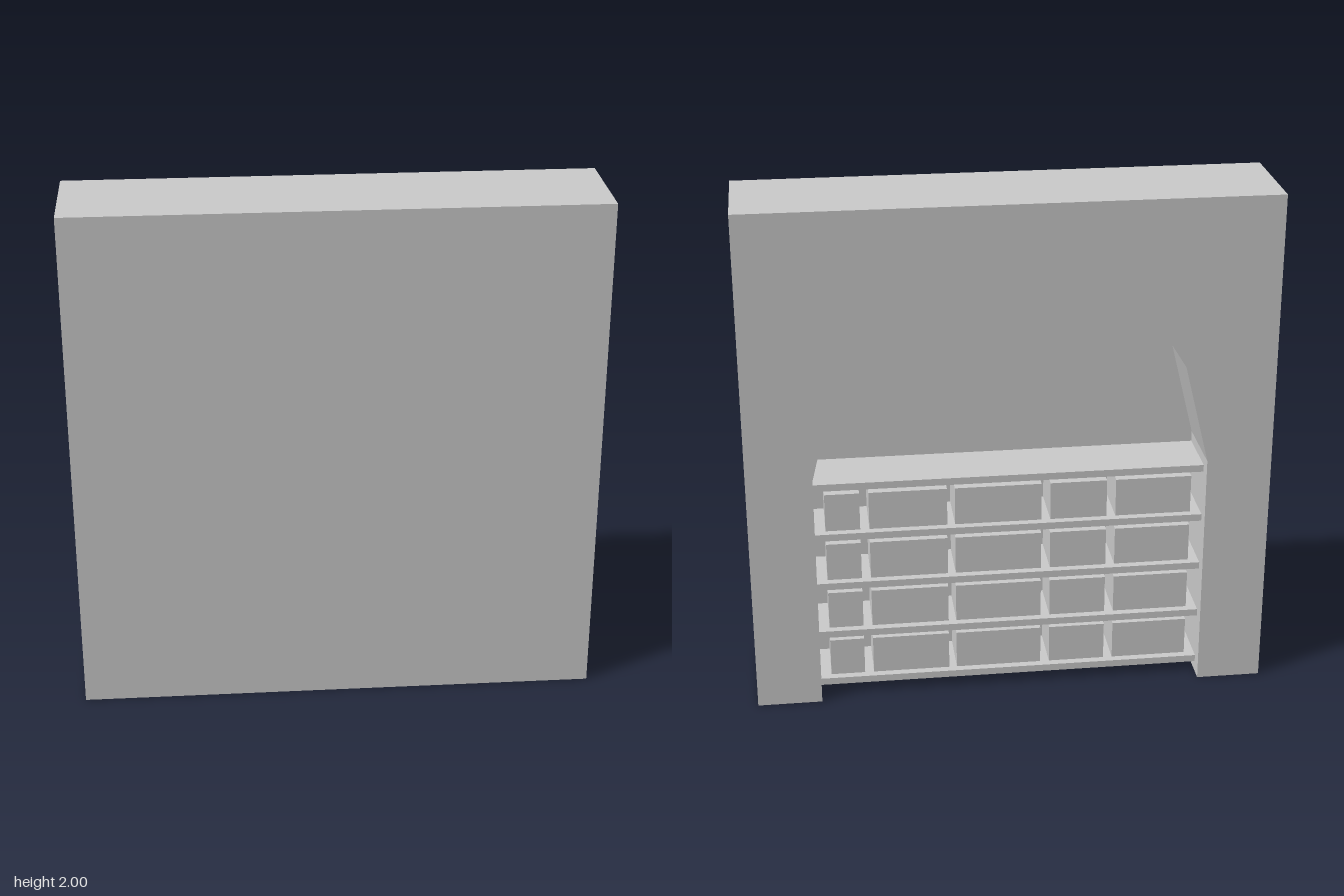
import * as THREE from 'three';

const material = new THREE.MeshStandardMaterial({ color: 0xcccccc, flatShading: true });

export function createModel() {
  const model = new THREE.Group();
  const back = -0.21, front = 0.21, nicheWall = 0.075, jamb = 0.75, spring = 0.955;

  function box(name, parent, x0, x1, y0, y1, z0, z1) {
    const mesh = new THREE.Mesh(new THREE.BoxGeometry(x1 - x0, y1 - y0, z1 - z0), material);
    mesh.position.set((x0 + x1) / 2, (y0 + y1) / 2, (z0 + z1) / 2);
    mesh.name = name;
    parent.add(mesh);
  }

  // Solid panel closing the front of the niche
  box('frontPanel', model, -1, 1, 0, 2, nicheWall, front);

  // Wall with an arched opening that reaches the ground
  const outline = new THREE.Shape();
  outline.moveTo(-1, 0);
  outline.lineTo(-jamb, 0);
  outline.lineTo(-jamb, spring);
  outline.bezierCurveTo(-0.62, 2.145, 0.62, 2.145, jamb, spring);
  outline.lineTo(jamb, 0);
  outline.lineTo(1, 0);
  outline.lineTo(1, 2);
  outline.lineTo(-1, 2);
  outline.closePath();
  const arch = new THREE.Mesh(
    new THREE.ExtrudeGeometry(outline, { depth: nicheWall - back, bevelEnabled: false, curveSegments: 8 }),
    material
  );
  arch.position.z = back;
  arch.name = 'archedWall';
  model.add(arch);

  // Shelves across the niche, with a row of book blocks on all but the top one
  const shelves = new THREE.Group();
  shelves.name = 'shelves';
  const books = new THREE.Group();
  books.name = 'books';
  model.add(shelves, books);
  const blocks = [[0.575, 0.708], [0.24, 0.54], [-0.125, 0.21], [-0.38, -0.16], [-0.71, -0.415]];
  for (let i = 0; i < 5; i++) {
    const top = 0.07 + i * 0.211;
    box('shelf', shelves, -jamb, jamb, top - 0.028, top, -0.155, nicheWall);
    if (i === 4) continue;
    for (const [x0, x1] of blocks) box('bookBlock', books, x0, x1, top, top + 0.153, -0.125, nicheWall);
  }
  return model;
}
